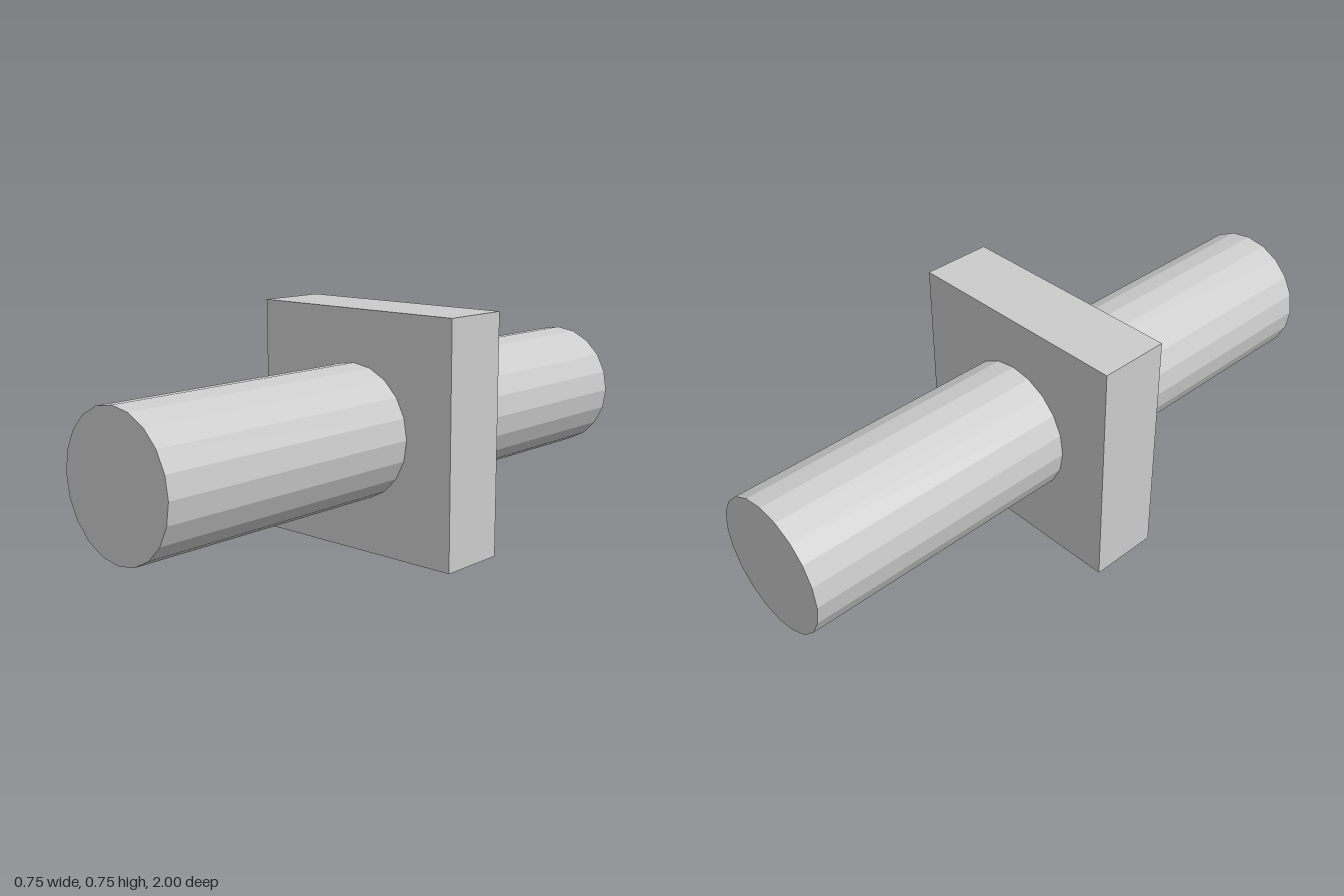
import * as THREE from 'three';

export function createModel() {
  const model = new THREE.Group();
  model.name = 'plateOnShaft';

  const grey = new THREE.MeshStandardMaterial({ color: 0xcccccc, flatShading: true });
  grey.name = 'light grey';

  const size = 0.748;
  const centreY = size / 2;

  // Square plate standing upright
  const plate = new THREE.Mesh(new THREE.BoxGeometry(size, size, 0.224), grey);
  plate.name = 'plate';
  plate.position.y = centreY;
  model.add(plate);

  // Twenty-sided shaft halves, one on each face of the plate
  const halfLength = 1 - 0.112;
  for (const [name, side] of [['frontShaft', 1], ['backShaft', -1]]) {
    const geometry = new THREE.CylinderGeometry(0.21, 0.21, halfLength, 20);
    geometry.rotateX(Math.PI / 2);
    const shaft = new THREE.Mesh(geometry, grey);
    shaft.name = name;
    shaft.position.set(0, centreY, side * (0.112 + halfLength / 2));
    model.add(shaft);
  }

  return model;
}
